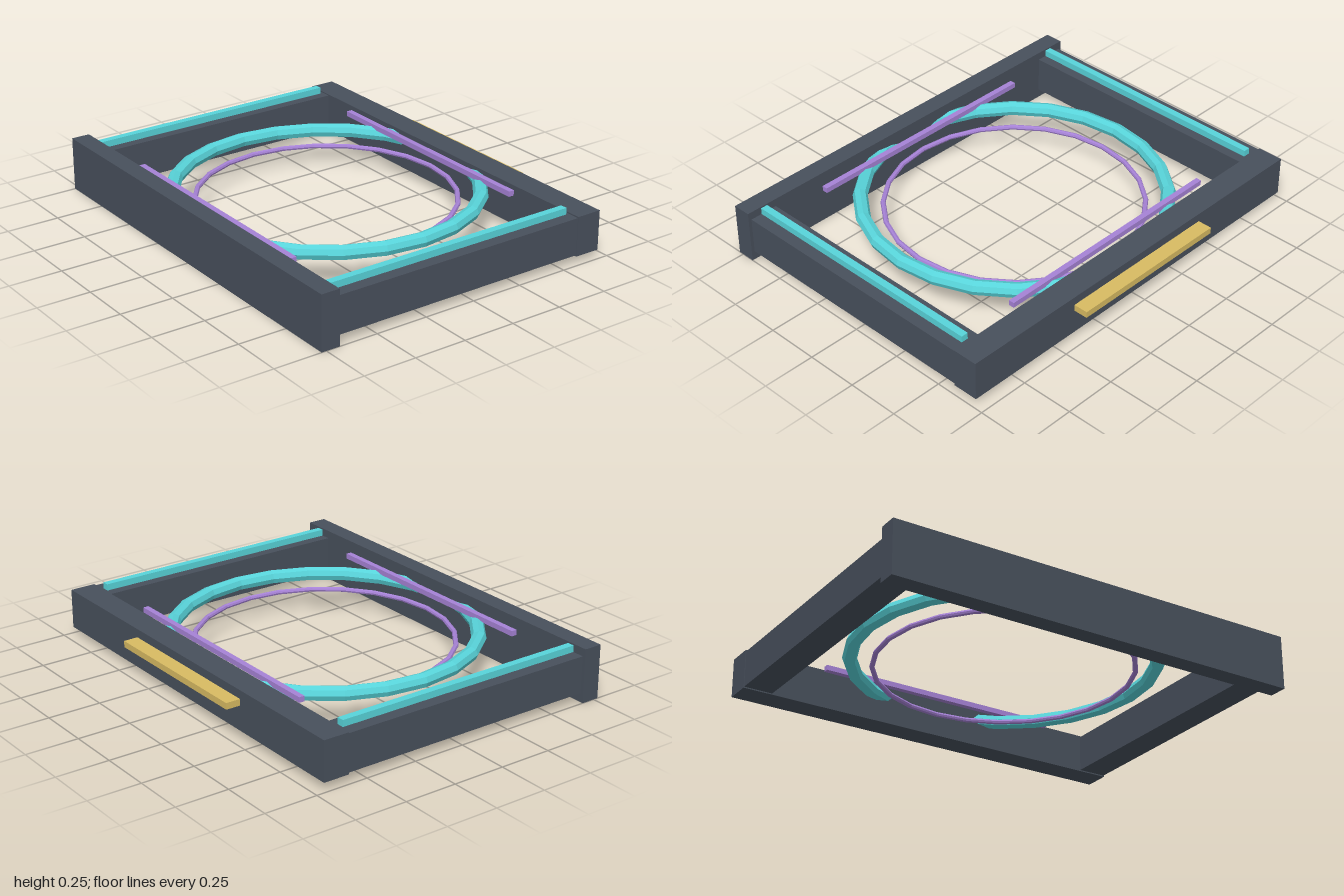
import * as THREE from 'three';

export function createModel() {
  const model = new THREE.Group();
  const mat = (color) => new THREE.MeshStandardMaterial({ color, flatShading: true });
  const slate = mat(0x48505c);
  const cyan = mat(0x58d4da);
  const violet = mat(0xa682d6);
  const gold = mat(0xd8bb62);

  // Box given by its lower and upper bounds on each axis
  function box(name, material, [x0, x1], [y0, y1], [z0, z1]) {
    const mesh = new THREE.Mesh(new THREE.BoxGeometry(x1 - x0, y1 - y0, z1 - z0), material);
    mesh.position.set((x0 + x1) / 2, (y0 + y1) / 2, (z0 + z1) / 2);
    mesh.name = name;
    model.add(mesh);
  }

  // Flat-lying faceted ring
  function ring(name, material, radius, tube, y) {
    const geometry = new THREE.TorusGeometry(radius, tube, 8, 24).rotateX(Math.PI / 2);
    const mesh = new THREE.Mesh(geometry, material);
    mesh.position.set(0, y, 0.034);
    mesh.name = name;
    model.add(mesh);
  }

  // Frame: tall front beam, back beam and two side beams
  box('frontBeam', slate, [-1, 1], [0, 0.255], [0.685, 0.773]);
  box('backBeam', slate, [-0.987, 0.987], [0.036, 0.223], [-0.705, -0.582]);
  for (const [side, s] of [['left', 1], ['right', -1]]) {
    const span = (a, b) => [Math.min(s * a, s * b), Math.max(s * a, s * b)];
    box(side + 'Beam', slate, span(0.845, 0.984), [0.042, 0.217], [-0.64, 0.772]);
    // Light strip along the top of the side beam
    box(side + 'LightStrip', cyan, span(0.892, 0.926), [0.213, 0.248], [-0.567, 0.69]);
  }

  // Concentric rings inside the frame
  ring('outerRing', cyan, 0.694, 0.034, 0.174);
  ring('innerRing', violet, 0.593, 0.012, 0.132);

  // Thin rails across the front and back of the rings
  box('frontRail', violet, [-0.605, 0.605], [0.197, 0.222], [0.617, 0.645]);
  box('backRail', violet, [-0.605, 0.605], [0.197, 0.222], [-0.548, -0.521]);

  // Ledge on the back of the frame
  box('backLedge', gold, [-0.404, 0.404], [0.153, 0.183], [-0.774, -0.7]);

  return model;
}
